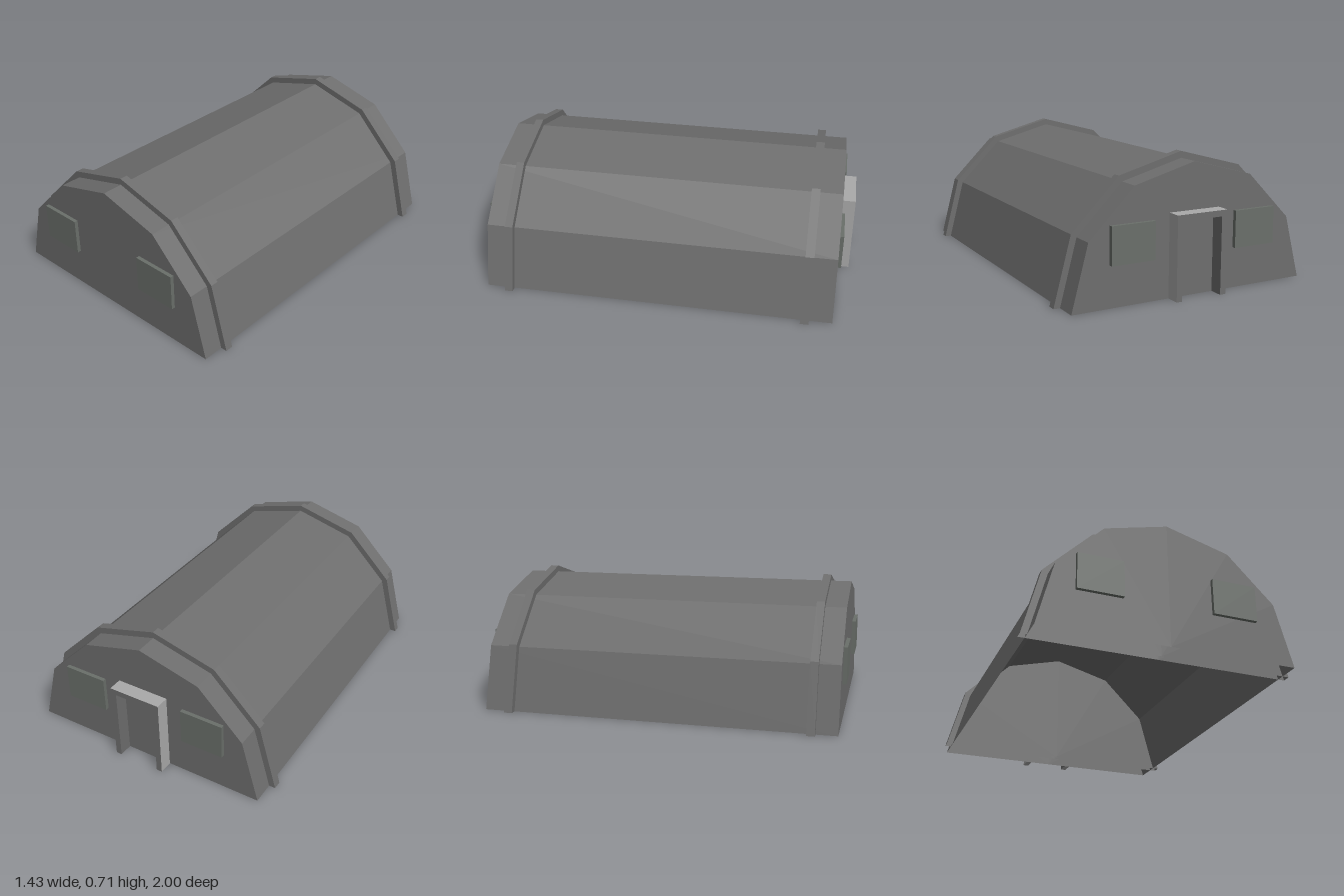
import * as THREE from 'three';

const mat = (name, color, opts = {}) => {
  const m = new THREE.MeshStandardMaterial({ color, flatShading: true, ...opts });
  m.name = name;
  return m;
};

export function createModel() {
  const group = new THREE.Group();
  const shellGrey = mat('shell grey', 0x6e6e6e, { side: THREE.DoubleSide });
  const windowGrey = mat('window grey', 0x6a6f6a);
  const frameGrey = mat('frame light grey', 0xaaaaaa);

  const add = (name, geometry, material) => {
    const mesh = new THREE.Mesh(geometry, material);
    mesh.name = name;
    group.add(mesh);
    return mesh;
  };

  // Six-sided half barrel with closed ends and an open underside
  const arch = (name, radius, z0, z1) => {
    const g = new THREE.CylinderGeometry(radius, radius, z1 - z0, 6, 1, false, -Math.PI / 2, Math.PI);
    g.rotateX(-Math.PI / 2).translate(0, 0, (z0 + z1) / 2);
    return add(name, g, shellGrey);
  };

  const box = (name, [x0, x1], [y0, y1], [z0, z1], material) => {
    const g = new THREE.BoxGeometry(x1 - x0, y1 - y0, z1 - z0);
    g.translate((x0 + x1) / 2, (y0 + y1) / 2, (z0 + z1) / 2);
    return add(name, g, material);
  };

  arch('hutShell', 0.68, -0.925, 0.98);
  arch('frontRib', 0.715, 0.825, 0.868);
  arch('backRib', 0.715, -0.803, -0.757);

  // Two raised window panels on each end wall
  for (const [side, x] of [['left', [0.233, 0.475]], ['right', [-0.485, -0.243]]]) {
    box(side + 'FrontWindow', x, [0.215, 0.41], [0.97, 1], windowGrey);
    box(side + 'BackWindow', x, [0.215, 0.41], [-0.946, -0.915], windowGrey);
  }

  // Door surround: pale outside, dark front and reveal (+x, -x, +y, -y, +z, -z)
  const L = frameGrey, D = shellGrey, depth = [-1, -0.925];
  box('leftDoorJamb', [0.11, 0.142], [0, 0.405], depth, [L, D, L, L, D, D]);
  box('rightDoorJamb', [-0.15, -0.118], [0, 0.405], depth, [D, L, L, L, D, D]);
  box('doorLintel', [-0.15, 0.142], [0.405, 0.437], depth, [L, L, L, D, D, D]);

  return group;
}
